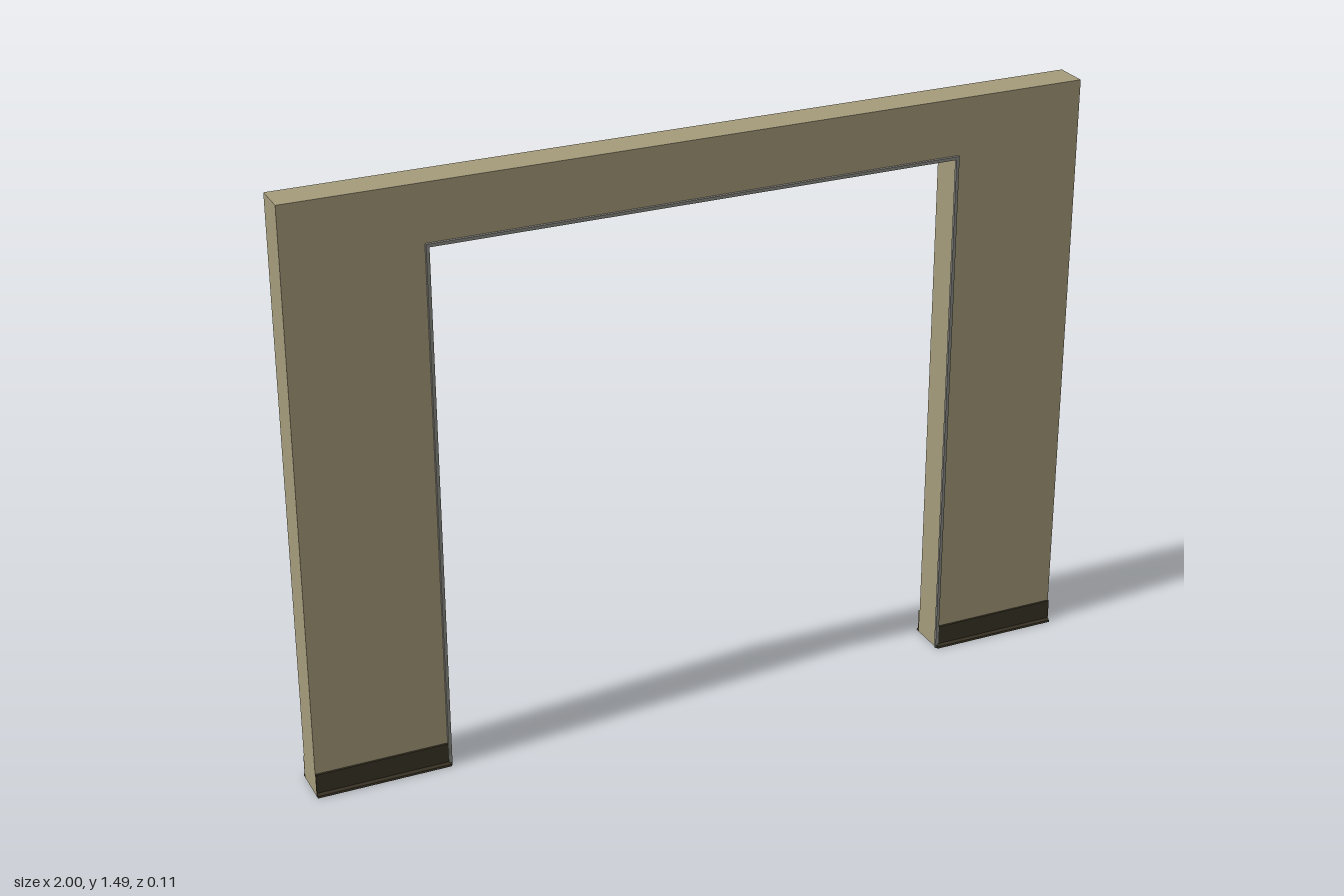
import * as THREE from 'three';

export function createModel() {
  const wall = new THREE.MeshStandardMaterial({ name: 'tan plaster', color: 0xa69c7c });
  const dark = new THREE.MeshStandardMaterial({ name: 'dark skirting', color: 0x3b3527 });
  const grey = new THREE.MeshStandardMaterial({ name: 'grey trim', color: 0x8b8a84 });
  const model = new THREE.Group();
  model.name = 'doorwayWall';

  const H = 1.485, OPEN = 0.665, TOP = 1.337, Z = 0.043;

  // Box given by its minimum and maximum corners
  const box = (name, material, x0, x1, y0, y1, z0, z1) => {
    const mesh = new THREE.Mesh(new THREE.BoxGeometry(x1 - x0, y1 - y0, z1 - z0), material);
    mesh.position.set((x0 + x1) / 2, (y0 + y1) / 2, (z0 + z1) / 2);
    mesh.name = name;
    model.add(mesh);
  };

  // Wall as one slab with the doorway cut out
  const outline = new THREE.Shape([
    [-1, 0], [-OPEN, 0], [-OPEN, TOP], [OPEN, TOP], [OPEN, 0], [1, 0], [1, H], [-1, H],
  ].map(([x, y]) => new THREE.Vector2(x, y)));
  const slab = new THREE.Mesh(
    new THREE.ExtrudeGeometry(outline, { depth: 2 * Z, bevelEnabled: false }), wall);
  slab.position.z = -Z;
  slab.name = 'wall';
  model.add(slab);

  // Skirting profile: thin board with a small shoe moulding at the floor
  const profile = new THREE.Shape([
    [0, 0], [0.012, 0], [0.011, 0.005], [0.005, 0.01], [0.005, 0.06], [0, 0.06],
  ].map(([x, y]) => new THREE.Vector2(x, y)));
  const skirting = new THREE.ExtrudeGeometry(profile, { depth: 1 - OPEN, bevelEnabled: false });
  skirting.translate(0, 0, -(1 - OPEN) / 2);

  for (const side of [-1, 1]) {
    for (const face of [-1, 1]) {
      const mesh = new THREE.Mesh(skirting, dark);
      mesh.rotation.y = -face * Math.PI / 2;
      mesh.position.set(side * (1 + OPEN) / 2, 0, face * Z);
      mesh.name = (side > 0 ? 'left' : 'right') + (face > 0 ? 'Front' : 'Back') + 'Skirting';
      model.add(mesh);
    }
    // Narrow bead up the front edge of each jamb
    const a = side * 0.662, b = side * 0.67;
    box(side > 0 ? 'leftJambTrim' : 'rightJambTrim', grey,
      Math.min(a, b), Math.max(a, b), 0, 1.343, Z, Z + 0.007);
  }
  // Bead across the head of the doorway
  box('headTrim', grey, -0.662, 0.662, 1.335, 1.343, Z, Z + 0.007);

  return model;
}
